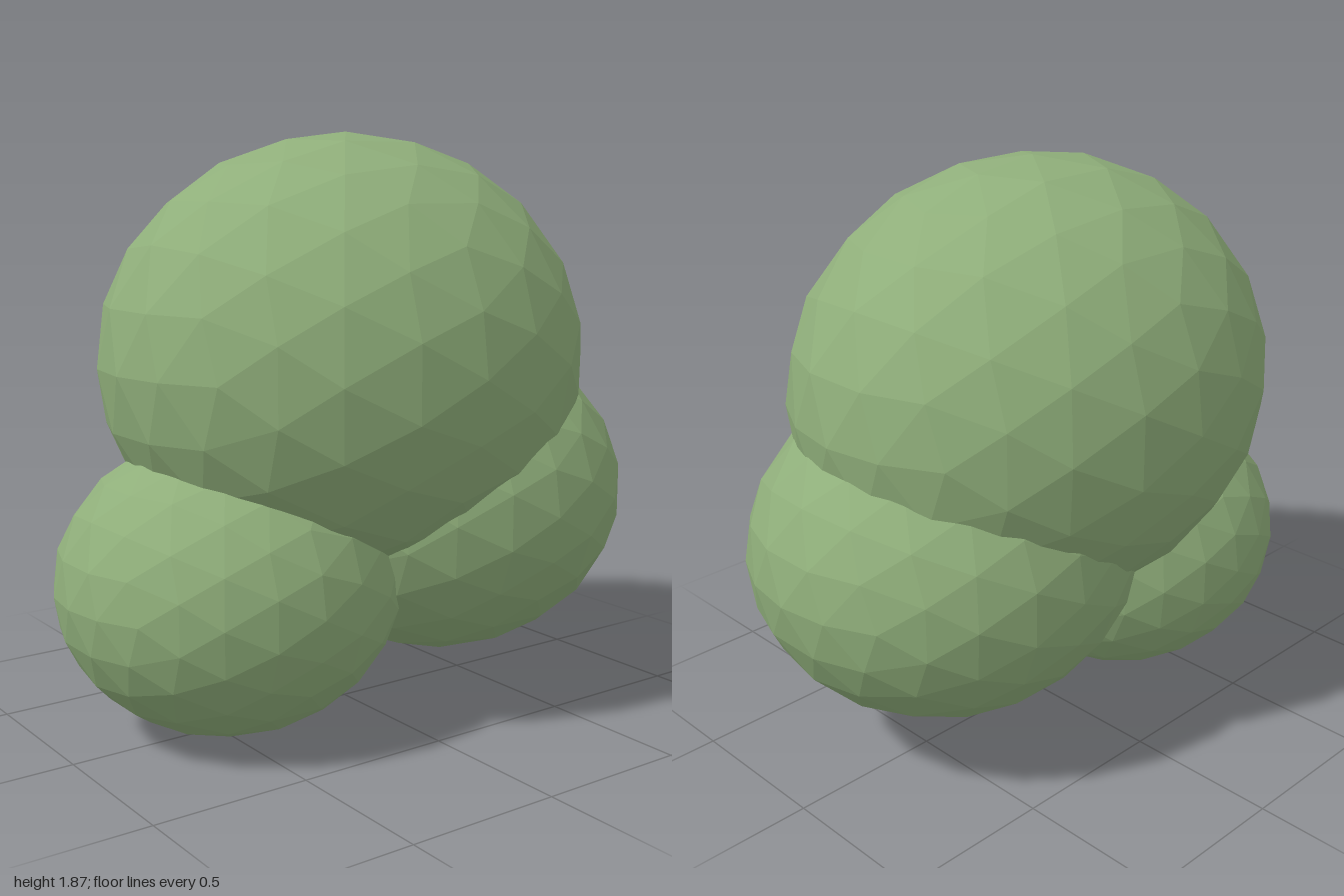
import * as THREE from 'three';

// Faceted unit ball: each triangle of a once-divided icosahedron is split in four
function facetedBall() {
  const src = new THREE.IcosahedronGeometry(1, 1).getAttribute('position');
  const points = [];
  const corner = (i) => new THREE.Vector3().fromBufferAttribute(src, i);
  const middle = (a, b) => a.clone().add(b).normalize();
  for (let i = 0; i < src.count; i += 3) {
    const a = corner(i), b = corner(i + 1), c = corner(i + 2);
    const ab = middle(a, b), bc = middle(b, c), ca = middle(c, a);
    points.push(a, ab, ca, ab, b, bc, ca, bc, c, ab, bc, ca);
  }
  return new THREE.BufferGeometry().setFromPoints(points);
}

export function createModel() {
  const group = new THREE.Group();
  group.name = 'bush';

  const leafGreen = new THREE.MeshStandardMaterial({ color: 0x8fae7a, flatShading: true });
  leafGreen.name = 'leaf green';

  // Three overlapping clumps of foliage: name, centre, radii
  const clumps = [
    ['mainClump', [0.004, 1.154, 0], [0.827, 0.72, 0.7]],
    ['leftClump', [0.357, 0.69, 0.037], [0.643, 0.545, 0.61]],
    ['rightClump', [-0.446, 0.478, 0], [0.554, 0.478, 0.53]],
  ];
  for (const [name, centre, radii] of clumps) {
    const geometry = facetedBall().scale(...radii);
    geometry.computeVertexNormals();
    const mesh = new THREE.Mesh(geometry, leafGreen);
    mesh.name = name;
    mesh.position.set(...centre);
    group.add(mesh);
  }
  return group;
}
